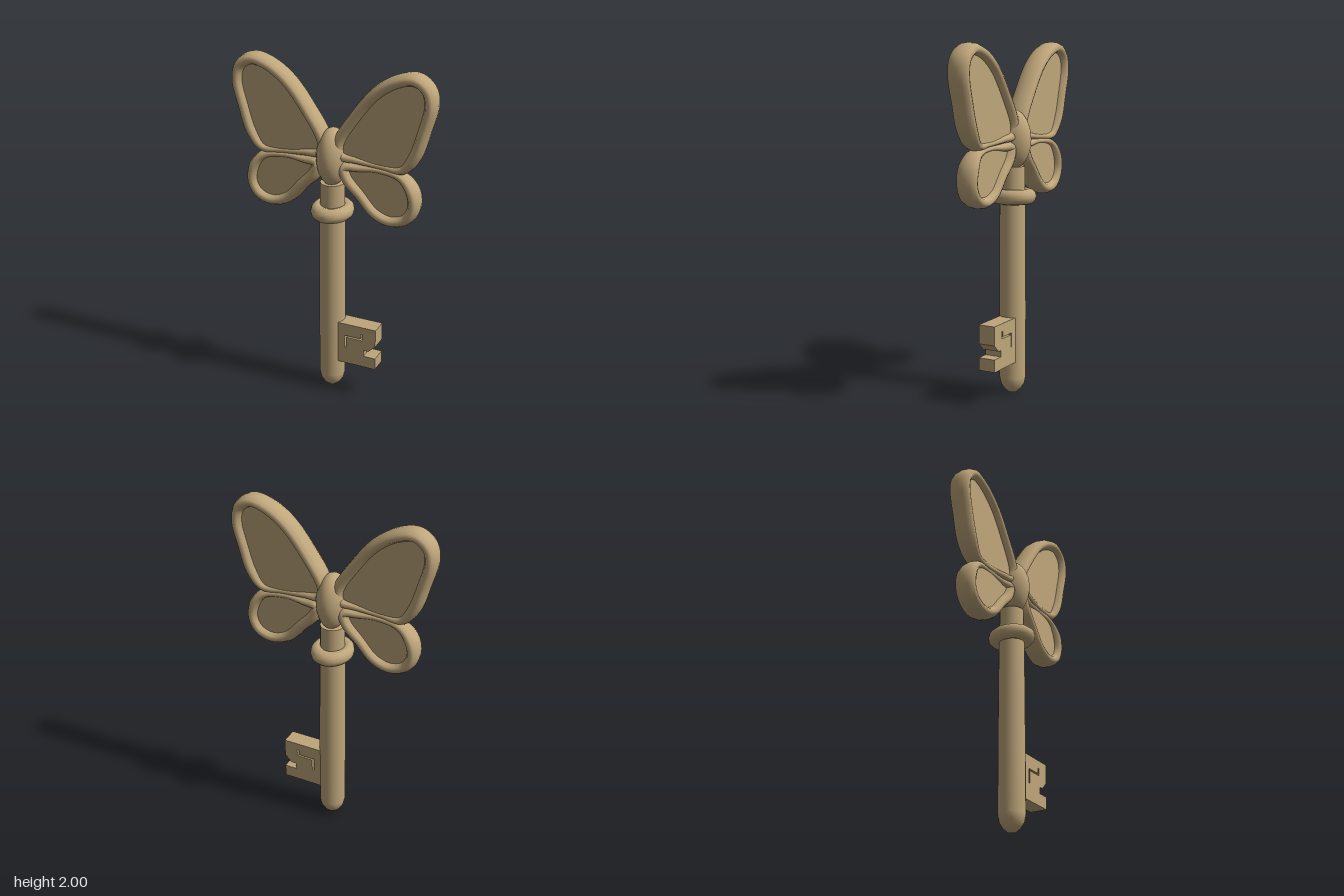
import * as THREE from 'three';

const brass = new THREE.MeshStandardMaterial({ color: 0xbfa67b });
brass.name = 'brass';

function add(parent, name, geometry) {
  const mesh = new THREE.Mesh(geometry, brass);
  mesh.name = name;
  parent.add(mesh);
  return mesh;
}

// Wing outlines, clockwise: x, y, half width of the rim
const UPPER = [
  [0.05, 1.56, 0.035], [0.14, 1.715, 0.035], [0.26, 1.865, 0.035], [0.38, 1.945, 0.035],
  [0.48, 1.964, 0.035], [0.547, 1.915, 0.035], [0.564, 1.835, 0.035], [0.53, 1.69, 0.034],
  [0.485, 1.55, 0.034], [0.42, 1.463, 0.028], [0.3, 1.46, 0.02], [0.15, 1.475, 0.025], [0.06, 1.49, 0.032],
];
const LOWER = [
  [0.08, 1.425, 0.034], [0.16, 1.43, 0.025], [0.28, 1.435, 0.019], [0.41, 1.415, 0.026],
  [0.473, 1.345, 0.034], [0.486, 1.25, 0.034], [0.445, 1.18, 0.034], [0.36, 1.153, 0.034],
  [0.265, 1.185, 0.034], [0.175, 1.28, 0.034], [0.1, 1.36, 0.036],
];

// Rim with an oval section swept round a closed outline
function rimGeometry(curve, steps = 72, sides = 12) {
  const positions = [], index = [];
  for (let i = 0; i < steps; i++) {
    const p = curve.getPoint(i / steps);
    const t = curve.getTangent(i / steps).setZ(0).normalize();
    for (let j = 0; j < sides; j++) {
      const a = (j / sides) * Math.PI * 2;
      const n = p.z * Math.cos(a);
      positions.push(p.x - t.y * n, p.y + t.x * n, 1.87 * p.z * Math.sin(a));
      const i2 = (i + 1) % steps, j2 = (j + 1) % sides;
      const A = i * sides + j, B = i * sides + j2, C = i2 * sides + j, D = i2 * sides + j2;
      index.push(A, B, C, B, D, C);
    }
  }
  const g = new THREE.BufferGeometry();
  g.setAttribute('position', new THREE.Float32BufferAttribute(positions, 3));
  g.setIndex(index);
  g.computeVertexNormals();
  return g;
}

function addWing(parent, name, outline, side) {
  const wing = new THREE.Group();
  wing.name = name;
  const pts = outline.map(([x, y, w]) => new THREE.Vector3(x * side, y, w));
  if (side < 0) pts.reverse();
  const curve = new THREE.CatmullRomCurve3(pts, true);
  add(wing, 'wingRim', rimGeometry(curve));
  // Recessed panel inside the rim
  const shape = new THREE.Shape(curve.getPoints(72).slice(0, -1).map(p => new THREE.Vector2(p.x, p.y)));
  const panel = new THREE.ExtrudeGeometry(shape, { depth: 0.06, bevelEnabled: false });
  add(wing, 'wingPanel', panel.translate(0, 0, -0.03));
  parent.add(wing);
}

const polygon = (Type, list) => new Type(list.map(([x, y]) => new THREE.Vector2(x, y)));

export function createModel() {
  const key = new THREE.Group();
  key.name = 'butterflyKey';

  // Shaft with a rounded tip
  const shaft = [[0, 0], [0.025, 0.007], [0.05, 0.03], [0.068, 0.06], [0.076, 0.1], [0.076, 0.5], [0.073, 1.14]];
  add(key, 'shaft', new THREE.LatheGeometry(shaft.map(([x, y]) => new THREE.Vector2(x, y)), 24));

  // Neck and collar
  add(key, 'neck', new THREE.CylinderGeometry(0.069, 0.07, 0.21, 24)).position.y = 1.21;
  const collar = add(key, 'collar', new THREE.TorusGeometry(0.083, 0.037, 12, 32).rotateX(Math.PI / 2));
  collar.position.y = 1.147;
  collar.scale.set(1, 1.15, 1.15);

  // Butterfly body
  const body = add(key, 'body', new THREE.SphereGeometry(1, 24, 18));
  body.scale.set(0.086, 0.167, 0.11);
  body.position.y = 1.465;

  // Wings
  for (const side of [1, -1]) {
    const label = side > 0 ? 'left' : 'right';
    addWing(key, label + 'UpperWing', UPPER, side);
    addWing(key, label + 'LowerWing', LOWER, side);
  }

  // Key bit with a stepped slot and a notch
  const bit = polygon(THREE.Shape, [
    [0.05, 0.2], [0.293, 0.2], [0.293, 0.272], [0.22, 0.272], [0.22, 0.31],
    [0.25, 0.31], [0.293, 0.352], [0.293, 0.46], [0.05, 0.46],
  ]);
  bit.holes.push(polygon(THREE.Path, [
    [0.1, 0.3], [0.1, 0.383], [0.2, 0.383], [0.2, 0.415],
    [0.211, 0.415], [0.211, 0.373], [0.111, 0.373], [0.111, 0.3],
  ]));
  const bitGeometry = new THREE.ExtrudeGeometry(bit, { depth: 0.1, bevelEnabled: false });
  add(key, 'bit', bitGeometry.translate(0, 0, -0.05));

  return key;
}
